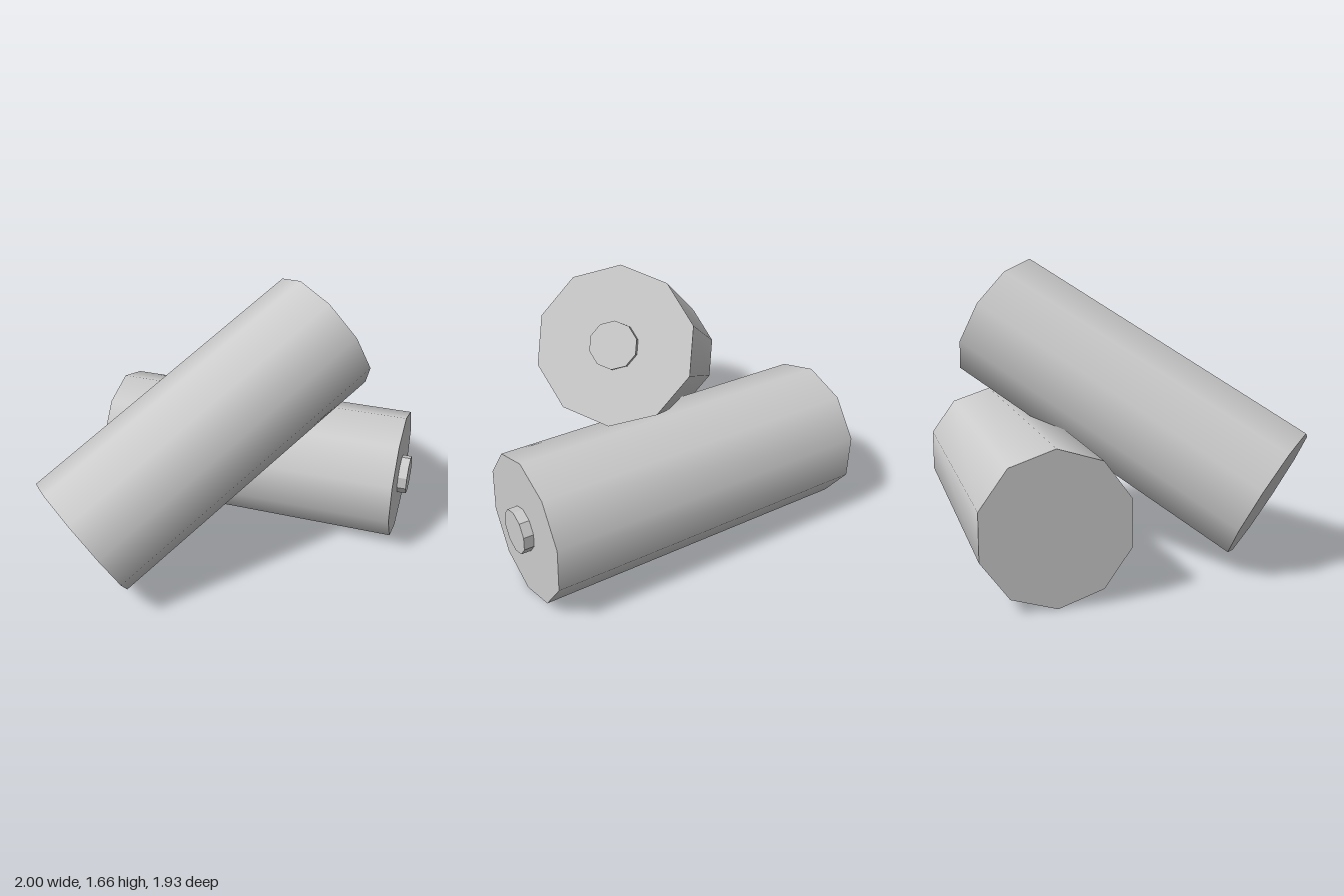
import * as THREE from 'three';

const RADIUS = 0.4, LENGTH = 1.886, KNOB_RADIUS = 0.12, KNOB_LENGTH = 0.055, SIDES = 10;

// One battery cell: base centre, axis direction, and the direction of one corner of its ten-sided section
function createBattery(name, base, axis, corner) {
  const battery = new THREE.Group();
  battery.name = name;

  // smooth casing with flat ends
  const casing = new THREE.Mesh(
    new THREE.CylinderGeometry(RADIUS, RADIUS, LENGTH, SIDES),
    new THREE.MeshStandardMaterial({ color: 0xcccccc })
  );
  casing.name = 'casing';
  casing.position.y = LENGTH / 2;

  // faceted contact at the positive end
  const terminal = new THREE.Mesh(
    new THREE.CylinderGeometry(KNOB_RADIUS, KNOB_RADIUS, KNOB_LENGTH, SIDES),
    new THREE.MeshStandardMaterial({ color: 0xcccccc, flatShading: true })
  );
  terminal.name = 'terminal';
  terminal.position.y = LENGTH + KNOB_LENGTH / 2;
  battery.add(casing, terminal);

  // local y runs along the axis, local z points at a corner
  const y = axis.clone().normalize();
  const x = new THREE.Vector3().crossVectors(y, corner).normalize();
  const z = new THREE.Vector3().crossVectors(x, y);
  battery.quaternion.setFromRotationMatrix(new THREE.Matrix4().makeBasis(x, y, z));
  battery.position.copy(base);
  return battery;
}

export function createModel() {
  const v = (x, y, z) => new THREE.Vector3(x, y, z);
  const model = new THREE.Group();
  model.name = 'batteries';
  model.add(
    createBattery('lyingBattery', v(-0.941, 0.4, -0.585), v(1, 0, 0), v(0, 1, 0)),
    createBattery('leaningBattery', v(-0.675, 0.403, 0.67), v(1.075, 0.91, -1.255), v(-0.117, 0.352, 0.139))
  );
  return model;
}
